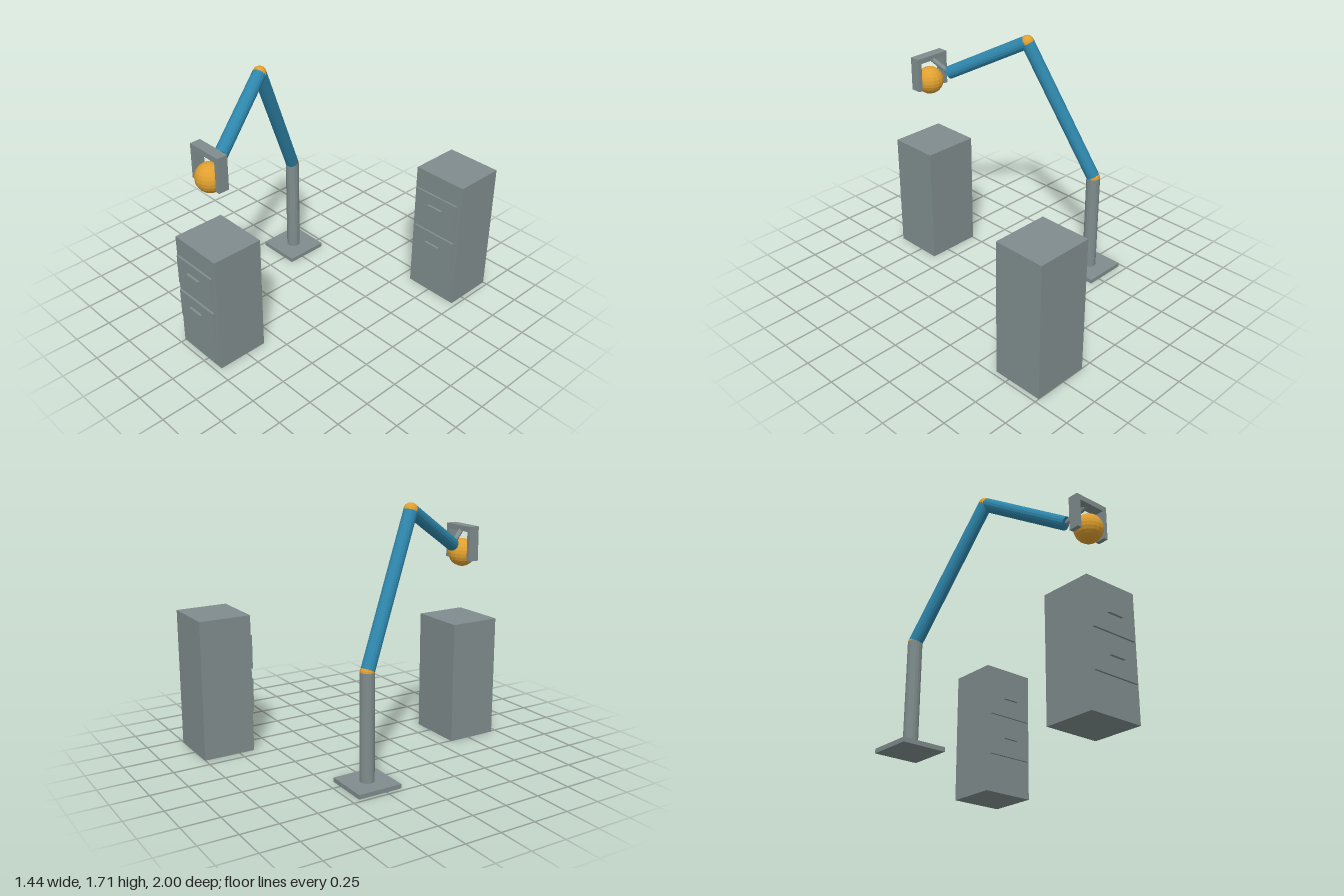
import * as THREE from 'three';

const material = (name, color, flatShading = false) => {
  const m = new THREE.MeshStandardMaterial({ color, flatShading });
  m.name = name;
  return m;
};

export function createModel() {
  const model = new THREE.Group();
  model.name = 'robotArmWithCabinets';
  const grey = material('steel grey', 0x7f8c8d, true);
  const blue = material('arm blue', 0x2e86ab, true);
  const gold = material('gold', 0xe0a030, true);

  const add = (parent, name, geometry, mat, position) => {
    const mesh = new THREE.Mesh(geometry, mat);
    mesh.name = name;
    mesh.position.copy(position);
    parent.add(mesh);
    return mesh;
  };
  // Box given by its lower and upper limits on each axis
  const box = (parent, name, [x0, x1], [y0, y1], [z0, z1]) =>
    add(parent, name, new THREE.BoxGeometry(x1 - x0, y1 - y0, z1 - z0), grey,
      new THREE.Vector3((x0 + x1) / 2, (y0 + y1) / 2, (z0 + z1) / 2));
  // Cylinder running between two points
  const rod = (parent, name, a, b, radius, mat) => {
    const dir = b.clone().sub(a);
    const mesh = add(parent, name, new THREE.CylinderGeometry(radius, radius, dir.length(), 16), mat,
      a.clone().add(b).multiplyScalar(0.5));
    mesh.quaternion.setFromUnitVectors(new THREE.Vector3(0, 1, 0), dir.normalize());
  };
  const ball = (parent, name, center, radius) =>
    add(parent, name, new THREE.SphereGeometry(radius, 16, 12), gold, center);

  // Arm: foot plate, column, two limbs and ball joints
  const arm = new THREE.Group();
  arm.name = 'arm';
  model.add(arm);
  const foot = new THREE.Vector3(-0.57, 0.03, -0.295);
  const shoulder = new THREE.Vector3(-0.57, 0.74, -0.295);
  const elbow = new THREE.Vector3(-0.363, 1.665, 0.153);
  const wrist = new THREE.Vector3(-0.125, 1.37, 0.67);
  const grip = new THREE.Vector3(-0.06, 1.468, 0.805);
  box(arm, 'footPlate', [-0.723, -0.417], [0, 0.03], [-0.448, -0.142]);
  rod(arm, 'column', foot, shoulder, 0.048, grey);
  rod(arm, 'upperArm', shoulder, elbow, 0.046, blue);
  rod(arm, 'forearm', elbow, wrist, 0.046, blue);
  rod(arm, 'wristRod', wrist, grip, 0.017, grey);
  ball(arm, 'shoulderJoint', shoulder, 0.047);
  ball(arm, 'elbowJoint', elbow, 0.047);

  // Gripper: crossbar, two fingers and the held ball
  const gripper = new THREE.Group();
  gripper.name = 'gripper';
  model.add(gripper);
  const depth = [0.768, 0.842];
  box(gripper, 'crossbar', [-0.19, 0.07], [1.45, 1.487], depth);
  box(gripper, 'rightFinger', [-0.19, -0.16], [1.25, 1.45], depth);
  box(gripper, 'leftFinger', [0.04, 0.07], [1.25, 1.45], depth);
  ball(gripper, 'heldBall', new THREE.Vector3(-0.06, 1.295, 0.805), 0.097);

  // Cabinets: body, drawer fronts floating just ahead of it, and handles
  const cabinet = (name, x, height, back, front, drawers) => {
    const group = new THREE.Group();
    group.name = name;
    model.add(group);
    box(group, 'body', [x - 0.197, x + 0.197], [0, height], [back, front]);
    for (const [bottom, top, handleY] of drawers) {
      box(group, 'drawerFront', [x - 0.172, x + 0.172], [bottom, top], [front + 0.007, front + 0.021]);
      box(group, 'handle', [x - 0.059, x + 0.059], [handleY - 0.008, handleY + 0.008], [front + 0.021, front + 0.038]);
    }
  };
  cabinet('frontCabinet', -0.06, 0.84, 0.603, 0.962, [[0.507, 0.715, 0.632], [0.24, 0.445, 0.364]]);
  cabinet('rearCabinet', 0.522, 0.95, -1, -0.643, [[0.574, 0.805, 0.714], [0.272, 0.504, 0.411]]);

  return model;
}
